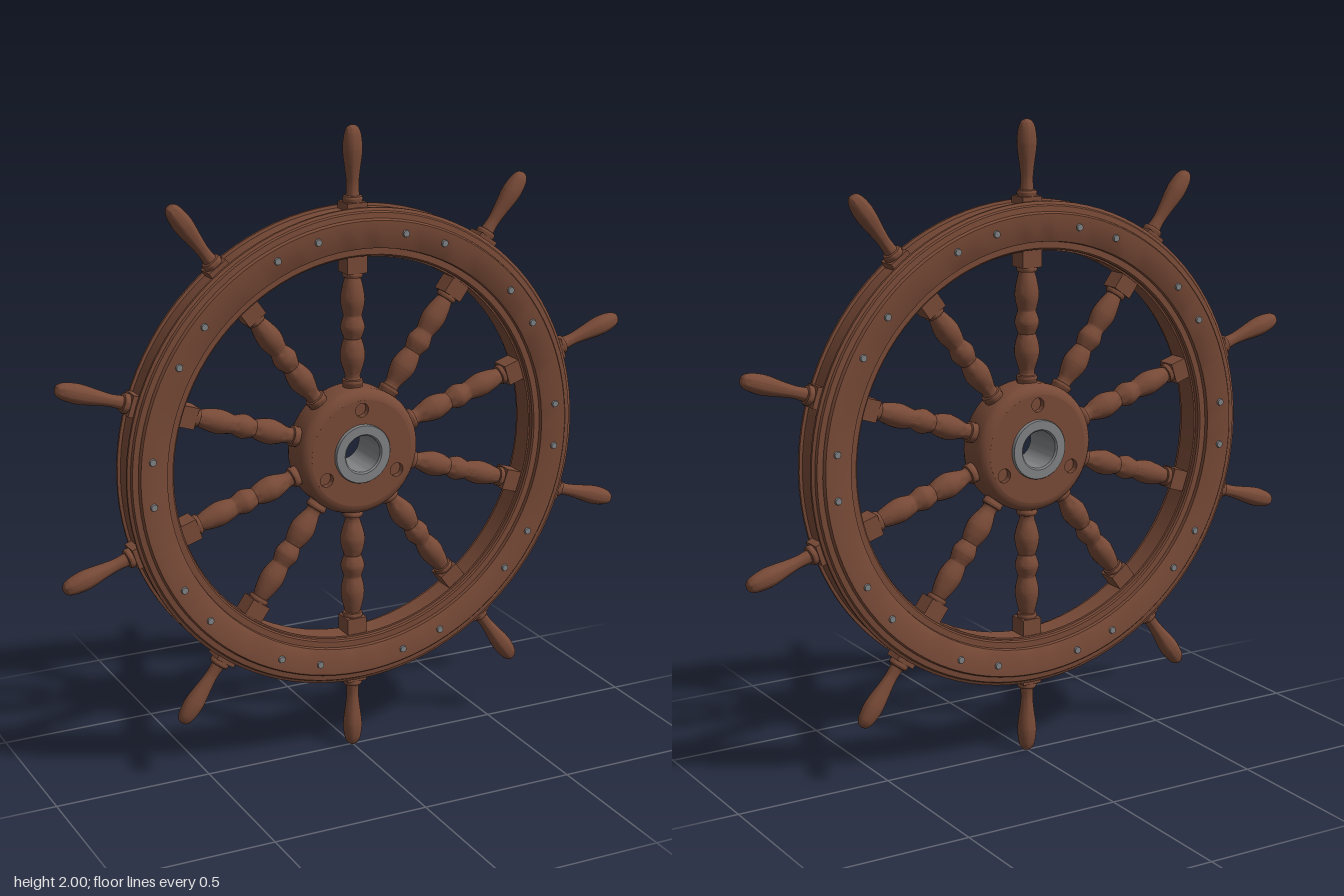
import * as THREE from 'three';
import { toCreasedNormals } from 'three/addons/utils/BufferGeometryUtils.js';

const V = (p) => new THREE.Vector2(p[0], p[1]);
const crease = (g) => toCreasedNormals(g, 0.6);

// Closed ring about z, from half a cross-section given as [radius, z], inner to outer
function ring(half, segments) {
  const top = [...half].reverse();
  const bottom = half.map(([r, z]) => [r, -z]);
  const pts = [...top, ...bottom, top[0]].map(V);
  return crease(new THREE.LatheGeometry(pts, segments).rotateX(Math.PI / 2));
}

// Turned piece along y; each section is a smooth run of [radius, y] points
function turned(sections, segments = 20) {
  const pts = sections.flatMap((s) =>
    s.length > 2 ? new THREE.SplineCurve(s.map(V)).getPoints((s.length - 1) * 4) : s.map(V));
  pts.forEach((p) => { p.x = Math.max(p.x, 0); });
  return crease(new THREE.LatheGeometry(pts, segments));
}

export function createModel() {
  const wood = new THREE.MeshStandardMaterial({ color: 0x784a37 });
  wood.name = 'wood';
  const steel = new THREE.MeshStandardMaterial({ color: 0x808284 });
  steel.name = 'steel';

  const model = new THREE.Group();
  model.name = 'shipWheel';
  const wheel = new THREE.Group();
  wheel.name = 'wheel';
  wheel.position.y = 1;
  model.add(wheel);
  const add = (parent, name, geometry, material) => {
    const m = new THREE.Mesh(geometry, material);
    m.name = name;
    parent.add(m);
    return m;
  };

  // Stepped rim with a shallow channel around the outside
  add(wheel, 'rim', ring([
    [0.607, 0], [0.607, 0.036], [0.612, 0.036], [0.612, 0.05], [0.617, 0.054], [0.636, 0.054],
    [0.638, 0.066], [0.641, 0.068], [0.722, 0.068], [0.725, 0.065], [0.727, 0.058],
    [0.744, 0.056], [0.748, 0.049], [0.757, 0.045], [0.757, 0.036], [0.748, 0.034], [0.748, 0],
  ], 100), wood);

  // Hub body with rounded shoulders
  add(wheel, 'hub', ring([
    [0.07, 0], [0.07, 0.045], [0.168, 0.045], [0.168, 0.066], [0.178, 0.064],
    [0.188, 0.058], [0.196, 0.049], [0.2, 0.038], [0.2, 0],
  ], 64), wood);

  // Hub faces with three bolt recesses
  const face = new THREE.Shape().absarc(0, 0, 0.169, 0, Math.PI * 2);
  face.holes.push(new THREE.Path().absarc(0, 0, 0.08, 0, Math.PI * 2, true));
  const bolts = [0, 1, 2].map((i) => {
    const a = Math.PI / 2 + i * Math.PI * 2 / 3;
    return [Math.cos(a) * 0.138, Math.sin(a) * 0.138];
  });
  bolts.forEach(([x, y]) =>
    face.holes.push(new THREE.Path().absarc(x, y, 0.022, 0, Math.PI * 2, true)));
  const faceGeo = crease(new THREE.ExtrudeGeometry(face, { depth: 0.022, bevelEnabled: false, curveSegments: 32 }));
  for (const side of [0, 1]) {
    const g = new THREE.Group();
    g.name = side ? 'hubBack' : 'hubFront';
    // Turned over about x and upright again, so the recesses line up
    g.rotation.set(0, side * Math.PI, 0);
    wheel.add(g);
    add(g, 'hubFace', faceGeo, wood).position.z = 0.044;
  }

  // Steel bushing through the hub
  add(wheel, 'bushing', ring([
    [0.058, 0], [0.058, 0.072], [0.063, 0.077], [0.091, 0.077], [0.093, 0.074], [0.093, 0],
  ], 48), steel);

  const spokeGeo = turned([
    [[0, 0.17], [0.031, 0.17]],
    [[0.031, 0.208], [0.033, 0.213], [0.031, 0.22]],
    [[0.025, 0.222], [0.024, 0.235], [0.034, 0.268], [0.039, 0.295], [0.035, 0.325], [0.027, 0.35]],
    [[0.027, 0.35], [0.036, 0.375], [0.037, 0.392], [0.028, 0.42]],
    [[0.028, 0.42], [0.036, 0.455], [0.037, 0.48], [0.031, 0.515], [0.024, 0.54]],
    [[0.03, 0.541], [0.032, 0.548], [0.03, 0.556]],
    [[0.03, 0.575], [0, 0.575]],
  ]);
  const handleGeo = turned([
    [[0, 0.76], [0.03, 0.76]],
    [[0.03, 0.774], [0.031, 0.78], [0.028, 0.787]],
    [[0.021, 0.789], [0.02, 0.8]],
    [[0.02, 0.8], [0.019, 0.825], [0.023, 0.865], [0.029, 0.91], [0.03, 0.94],
      [0.025, 0.975], [0.015, 0.994], [0, 1]],
  ]);
  const blockGeo = new THREE.BoxGeometry(0.066, 0.215, 0.066).translate(0, 0.6625, 0);
  const rivetGeo = new THREE.CylinderGeometry(0.011, 0.013, 0.15, 14).rotateX(Math.PI / 2);
  const frontRivet = crease(new THREE.CylinderGeometry(0.01, 0.013, 0.012, 14).rotateX(Math.PI / 2));
  rivetGeo.dispose();

  for (let i = 0; i < 10; i++) {
    // Spoke, square block through the rim, and handle
    const arm = new THREE.Group();
    arm.name = 'arm' + (i + 1);
    arm.rotation.z = -i * Math.PI / 5;
    wheel.add(arm);
    add(arm, 'spoke', spokeGeo, wood);
    add(arm, 'spokeBlock', blockGeo, wood);
    add(arm, 'handle', handleGeo, wood);

    // Pairs of rivets between the arms, on both faces
    for (const degrees of [12.2, 23.8]) {
      const a = degrees * Math.PI / 180;
      for (const side of [0, 1]) {
        const r = add(arm, 'rivet', frontRivet, steel);
        r.position.set(Math.sin(a) * 0.687, Math.cos(a) * 0.687, side ? -0.068 : 0.068);
        r.rotation.y = side * Math.PI;
      }
    }
  }
  return model;
}
